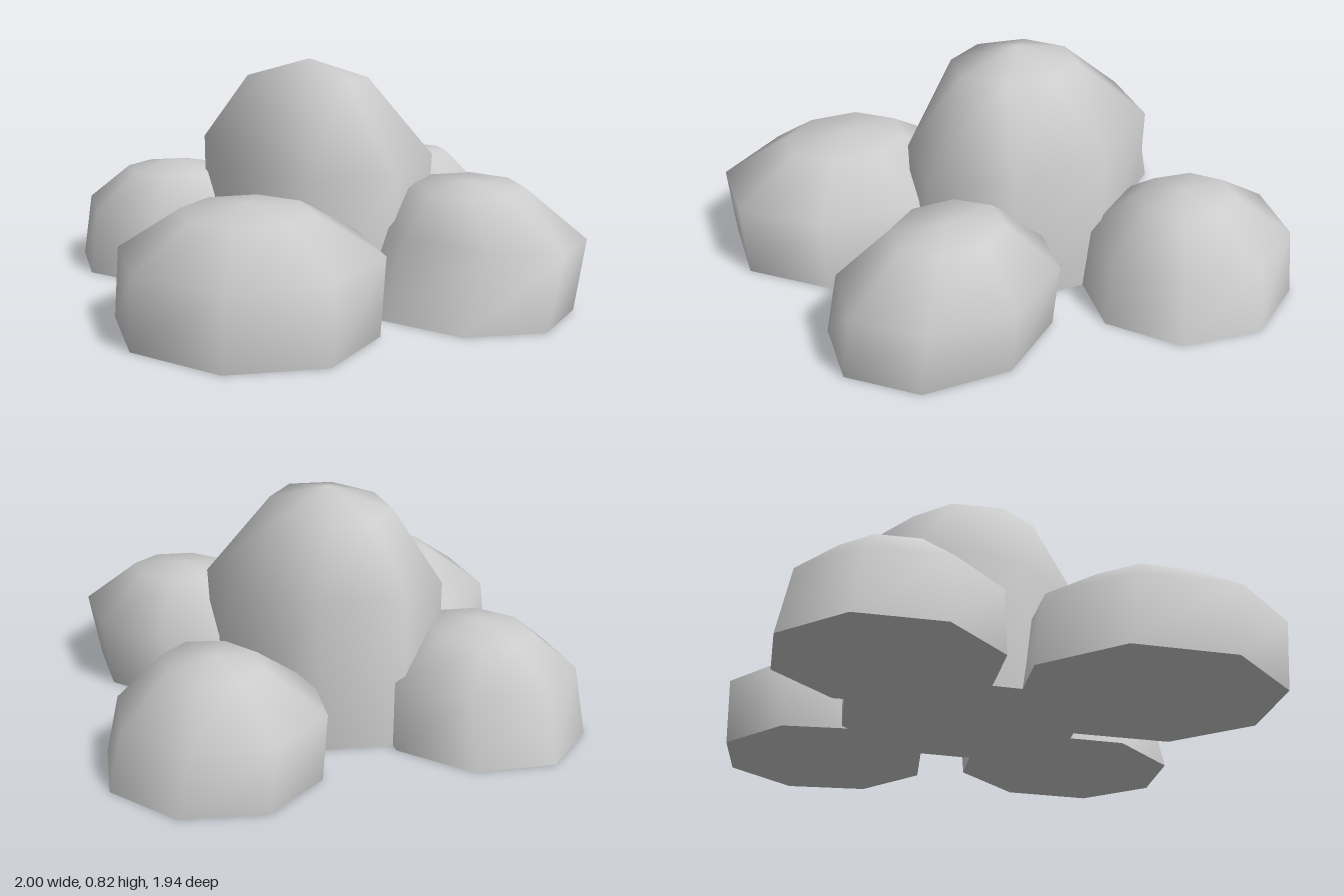
import * as THREE from 'three';

const SIDES = 8;
const stone = new THREE.MeshStandardMaterial({ color: 0xcccccc });
stone.name = 'pale grey stone';

// Each ring: centre x, centre z, radius x, radius z, height, tilt along x, tilt along z
const rocks = [
  {
    name: 'centreRock', turn: 0, apex: [-0.03, 0.825, -0.06],
    rings: [[0, -0.08, 0.38, 0.47, 0, 0, 0], [0.01, -0.075, 0.395, 0.485, 0.495, 0.025, -0.045], [-0.04, -0.06, 0.2, 0.26, 0.76, -0.008, 0.015]],
  },
  {
    name: 'frontLeftRock', turn: 0, apex: [0.24, 0.432, 0.53],
    rings: [[0.205, 0.535, 0.36, 0.425, 0, 0, 0], [0.27, 0.545, 0.33, 0.425, 0.26, -0.015, 0], [0.245, 0.525, 0.185, 0.205, 0.415, 0.005, -0.005]],
  },
  {
    name: 'frontRightRock', turn: 0, apex: [-0.56, 0.43, 0.34],
    rings: [[-0.565, 0.32, 0.43, 0.49, 0, 0, 0], [-0.565, 0.355, 0.435, 0.475, 0.268, 0.012, 0], [-0.565, 0.34, 0.215, 0.24, 0.403, 0.004, 0]],
  },
  {
    name: 'backLeftRock', turn: 0.09, apex: [0.6, 0.397, -0.28],
    rings: [[0.625, -0.29, 0.375, 0.395, 0, 0, 0], [0.605, -0.315, 0.355, 0.385, 0.225, -0.01, -0.01], [0.61, -0.285, 0.165, 0.195, 0.375, 0, 0.005]],
  },
  {
    name: 'backRightRock', turn: 0, apex: [-0.32, 0.405, -0.55],
    rings: [[-0.32, -0.57, 0.37, 0.4, 0, 0, 0], [-0.315, -0.545, 0.355, 0.37, 0.24, 0, 0], [-0.32, -0.56, 0.18, 0.205, 0.37, 0, 0.005]],
  },
];

function ringPoint([cx, cz, rx, rz, y, tiltX, tiltZ], i, turn) {
  const a = turn + (i / SIDES) * Math.PI * 2;
  const c = Math.cos(a), s = Math.sin(a);
  return [cx + rx * c, y + tiltX * c + tiltZ * s, cz + rz * s];
}

function rockGeometry({ rings, apex, turn }) {
  const positions = [], indices = [];
  for (const ring of rings) {
    for (let i = 0; i < SIDES; i++) positions.push(...ringPoint(ring, i, turn));
  }
  const top = rings.length * SIDES;
  positions.push(...apex);

  // Smooth sides and crown
  for (let r = 0; r < rings.length; r++) {
    for (let i = 0; i < SIDES; i++) {
      const a = r * SIDES + i, b = r * SIDES + (i + 1) % SIDES;
      if (r === rings.length - 1) indices.push(a, top, b);
      else indices.push(a, a + SIDES, b, b, a + SIDES, b + SIDES);
    }
  }

  // Flat underside with its own vertices, for a sharp bottom edge
  const base = top + 1;
  for (let i = 0; i < SIDES; i++) positions.push(...ringPoint(rings[0], i, turn));
  for (let i = 1; i < SIDES - 1; i++) indices.push(base, base + i, base + i + 1);

  const geometry = new THREE.BufferGeometry();
  geometry.setAttribute('position', new THREE.Float32BufferAttribute(positions, 3));
  geometry.setIndex(indices);
  geometry.computeVertexNormals();
  return geometry;
}

export function createModel() {
  const group = new THREE.Group();
  group.name = 'rockCluster';
  for (const rock of rocks) {
    const mesh = new THREE.Mesh(rockGeometry(rock), stone);
    mesh.name = rock.name;
    group.add(mesh);
  }
  return group;
}
